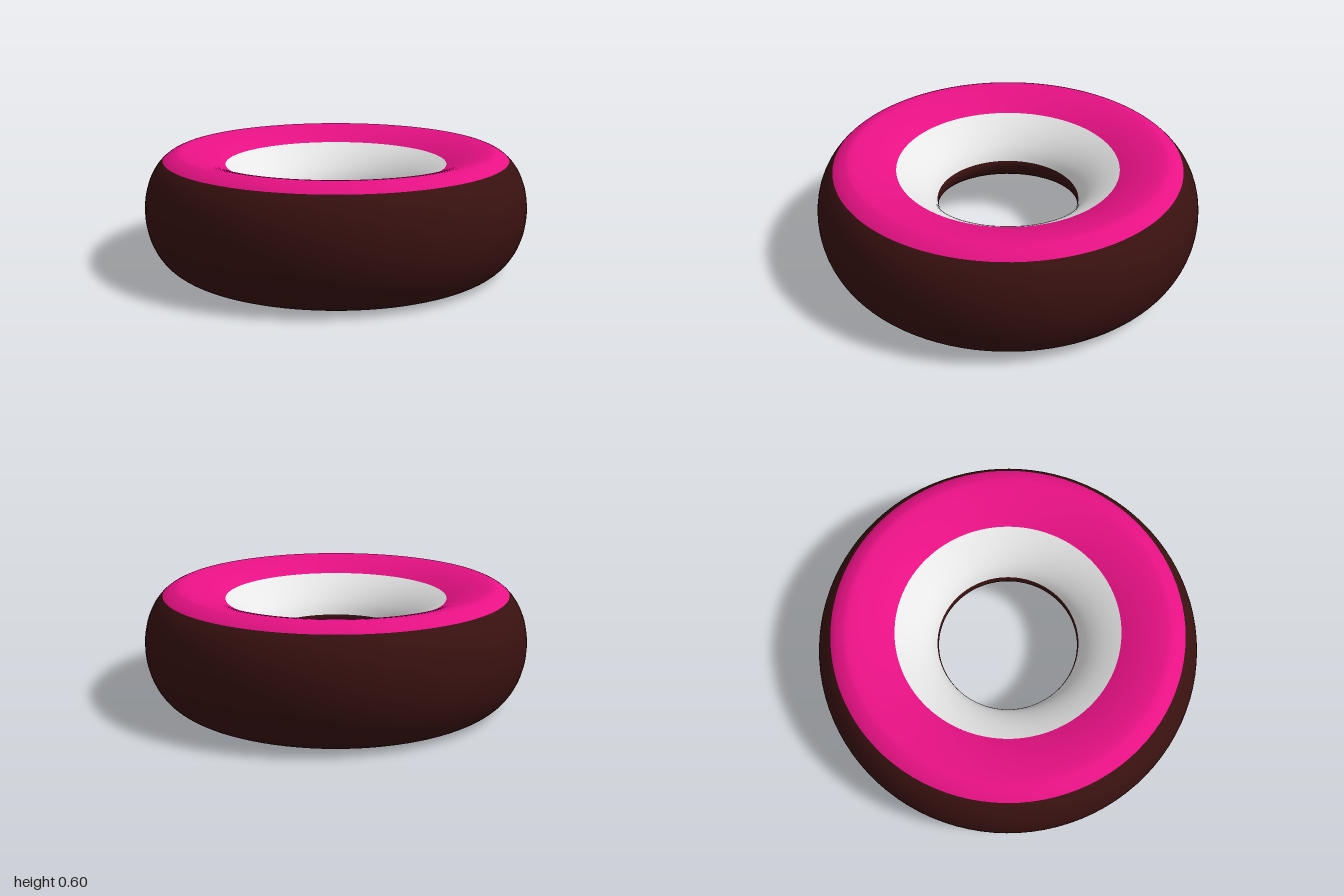
import * as THREE from 'three';

const STEPS = 5; // samples between two profile knots

export function createModel() {
  const group = new THREE.Group();
  group.name = 'ring';

  const brown = new THREE.MeshStandardMaterial({ color: 0x381110 });
  brown.name = 'dark brown';
  const pink = new THREE.MeshStandardMaterial({ color: 0xff1493 });
  pink.name = 'hot pink';
  const white = new THREE.MeshStandardMaterial({ color: 0xffffff });
  white.name = 'white';

  // Cross-section knots: outer half ellipse, from the bottom crest to the top crest
  const knots = [];
  for (let i = 0; i <= 12; i++) {
    const t = -Math.PI / 2 + (i * Math.PI) / 12;
    knots.push(new THREE.Vector2(0.8 + 0.2 * Math.cos(t), 0.3 + 0.3 * Math.sin(t)));
  }
  // then down the funnel, through the throat and back along the underside
  const inner = [
    [0.69, 0.573], [0.58, 0.525], [0.48, 0.46], [0.41, 0.39], [0.375, 0.325],
    [0.37, 0.29], [0.39, 0.245], [0.45, 0.195], [0.58, 0.118], [0.7, 0.045], [0.8, 0],
  ];
  inner.forEach(([r, y]) => knots.push(new THREE.Vector2(r, y)));

  const profile = new THREE.SplineCurve(knots).getPoints((knots.length - 1) * STEPS);
  const section = (from, to) => profile.slice(from * STEPS, to * STEPS + 1);

  const addBand = (name, points, material) => {
    const mesh = new THREE.Mesh(new THREE.LatheGeometry(points, 96), material);
    mesh.name = name;
    group.add(mesh);
  };

  // Knots where the colour changes
  const outerEdge = 10, funnelEdge = 14, throat = 17, last = knots.length - 1;
  addBand('body', [...section(throat, last), ...section(0, outerEdge).slice(1)], brown);
  addBand('topBand', section(outerEdge, funnelEdge), pink);
  addBand('innerFunnel', section(funnelEdge, throat), white);

  return group;
}
